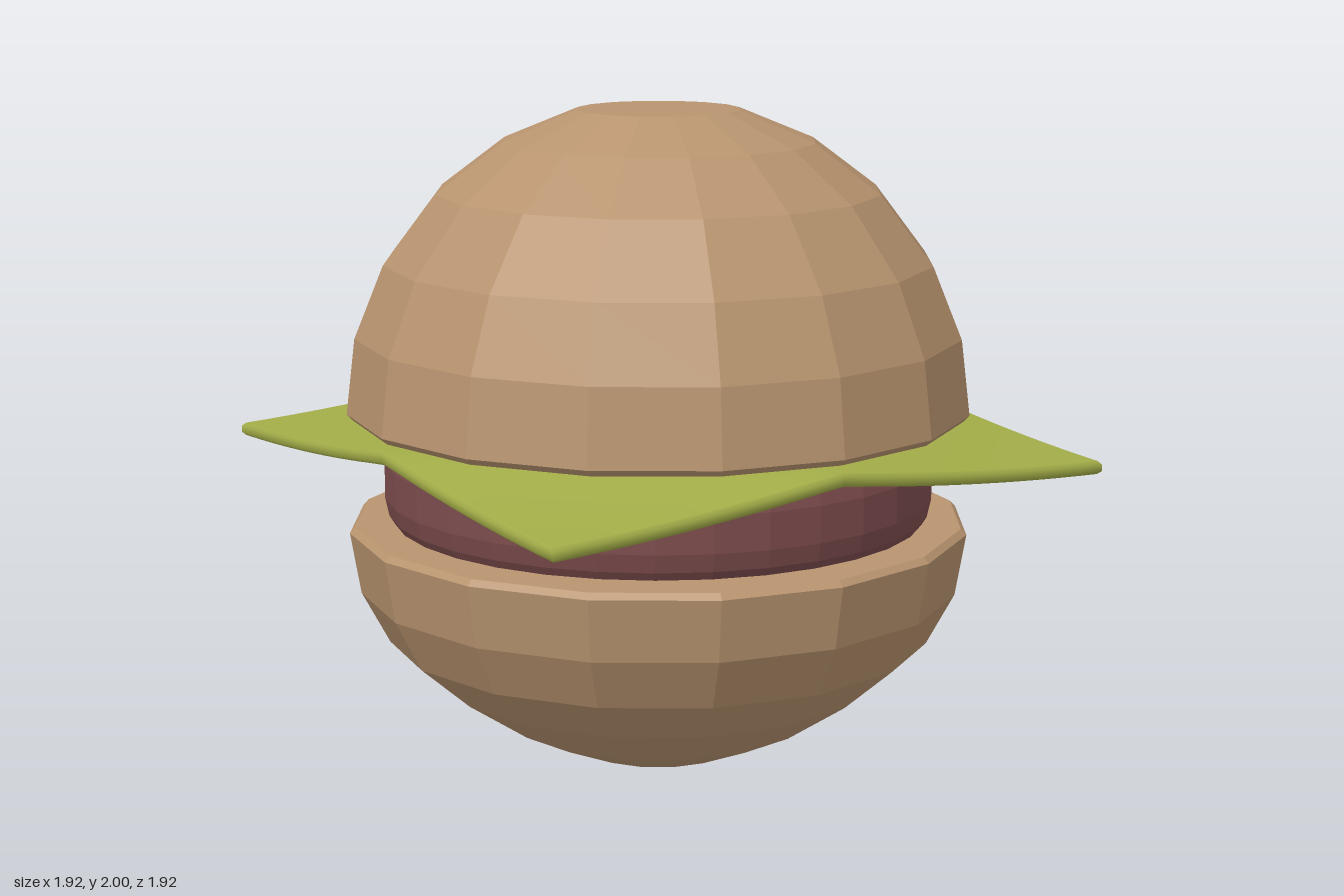
import * as THREE from 'three';

const BUN = 0xb8946f, PATTY = 0x7d4c4d, CHEESE = 0xa3ad48;

// Faceted round solid from a [radius, height] profile, listed bottom to top
function turned(name, profile, sides, color) {
  const points = profile.map(([r, y]) => new THREE.Vector2(r, y));
  const mesh = new THREE.Mesh(
    new THREE.LatheGeometry(points, sides),
    new THREE.MeshStandardMaterial({ color, flatShading: true }));
  mesh.name = name;
  return mesh;
}

// Square slice with softened rim: flat diamond centre, four drooping corners
function cheeseSlice() {
  const half = 0.96, bevel = 0.01, levels = [-0.02, -0.01, 0.01, 0.02];
  const geometry = new THREE.BoxGeometry(2, 3, 2, 24, 3, 24);
  const pos = geometry.attributes.position;
  for (let i = 0; i < pos.count; i++) {
    const level = Math.round(pos.getY(i) + 1.5);
    const reach = level === 0 || level === 3 ? half - bevel : half;
    const x = pos.getX(i) * reach, z = pos.getZ(i) * reach;
    const s = Math.max(0, (Math.abs(x) + Math.abs(z)) / half - 1);
    const droop = 0.083 * s * (1.6 - 0.6 * s);
    pos.setXYZ(i, x, 1.036 + levels[level] - droop, z);
  }
  geometry.computeVertexNormals();
  const mesh = new THREE.Mesh(geometry, new THREE.MeshStandardMaterial({ color: CHEESE }));
  mesh.name = 'cheeseSlice';
  return mesh;
}

export function createModel() {
  const group = new THREE.Group();
  group.name = 'burger';

  // Bottom bun, with a small bevel round its flat top
  group.add(turned('bottomBun', [
    [0, 0], [0.25, 0], [0.48, 0.1], [0.68, 0.235], [0.84, 0.375],
    [0.925, 0.535], [0.957, 0.725], [0.94, 0.743], [0, 0.743],
  ], 16, BUN));

  // Patty
  group.add(turned('patty', [
    [0, 0.75], [0.82, 0.75], [0.835, 0.775], [0.847, 0.83],
    [0.847, 0.94], [0.835, 0.99], [0.81, 1.014], [0, 1.014],
  ], 32, PATTY));

  group.add(cheeseSlice());

  // Domed top bun
  group.add(turned('topBun', [
    [0, 1.076], [0.94, 1.076], [0.958, 1.095], [0.93, 1.325],
    [0.84, 1.545], [0.68, 1.755], [0.48, 1.905], [0.25, 2], [0, 2],
  ], 16, BUN));

  return group;
}
